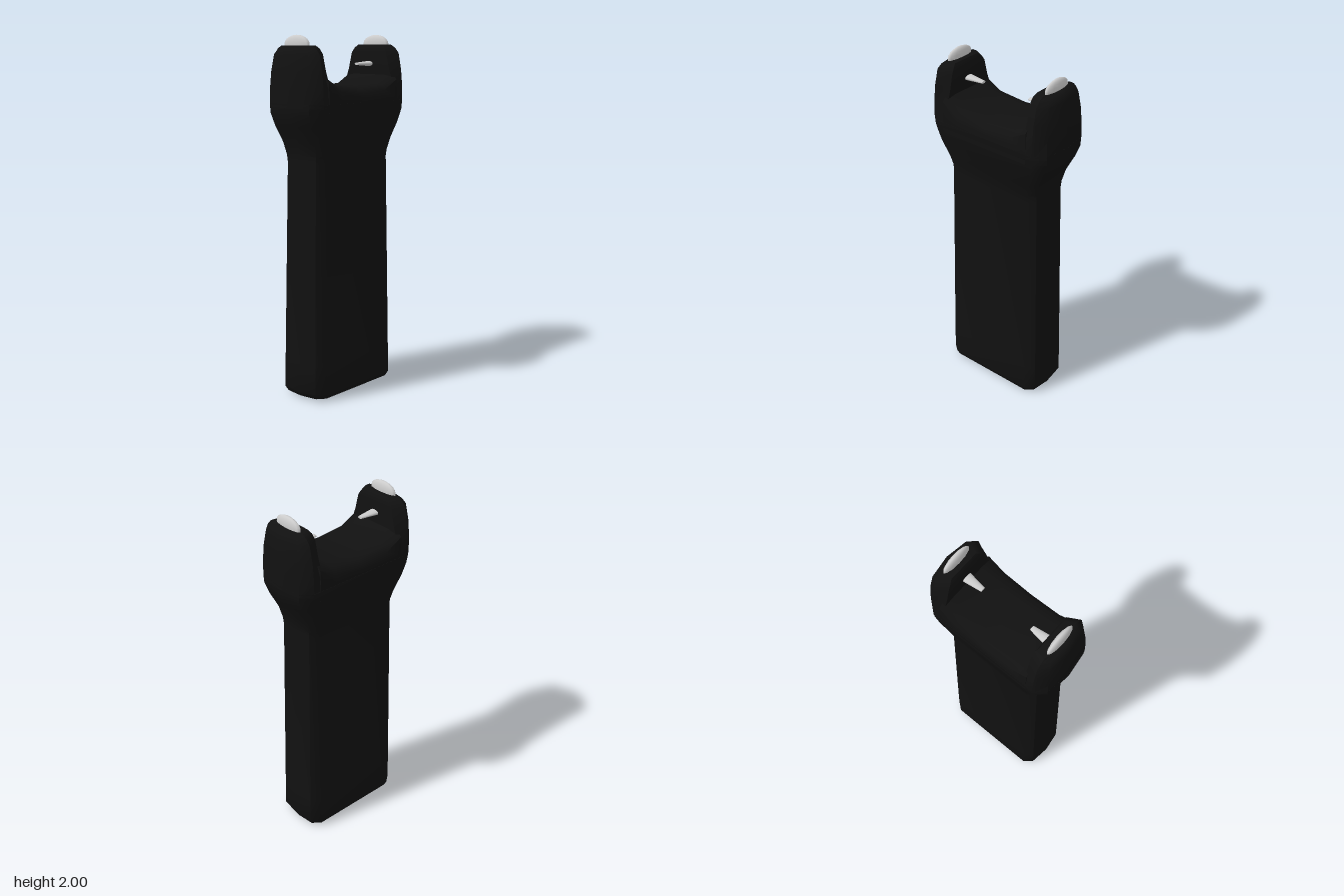
import * as THREE from 'three';
import { toCreasedNormals } from 'three/addons/utils/BufferGeometryUtils.js';

const black = new THREE.MeshStandardMaterial({ color: 0x111111 });
const grey = new THREE.MeshStandardMaterial({ color: 0xcccccc });

// Skin a list of equal-length rings and close both ends
function loft(rings) {
  const n = rings[0].length;
  const pos = rings.flat(2);
  const index = [];
  for (let r = 0; r < rings.length - 1; r++) {
    for (let i = 0; i < n; i++) {
      const a = r * n + i, b = r * n + (i + 1) % n;
      index.push(a, a + n, b, b, a + n, b + n);
    }
  }
  const last = (rings.length - 1) * n;
  for (let i = 1; i < n - 1; i++) {
    index.push(0, i, i + 1, last, last + i + 1, last + i);
  }
  const geo = new THREE.BufferGeometry();
  geo.setAttribute('position', new THREE.Float32BufferAttribute(pos, 3));
  geo.setIndex(index);
  return toCreasedNormals(geo, 0.75);
}

function add(parent, name, geometry, material) {
  const mesh = new THREE.Mesh(geometry, material);
  mesh.name = name;
  parent.add(mesh);
  return mesh;
}

// Ten-sided handle section: half width w, half depth d
function handleRing([y, w, d]) {
  const half = [[w, 0], [w * 0.955, d * 0.75], [w * 0.81, d], [-w * 0.81, d], [-w * 0.955, d * 0.75], [-w, 0]];
  const back = half.slice(1, 5).reverse().map(([x, z]) => [x, -z]);
  return [...half, ...back].map(([x, z]) => [x, y, z]);
}

// Prong section: rounded outside, flat inner wall at x = inner
function prongRing([y, w, d, inner, innerD]) {
  return [
    [w, y, 0], [w - 0.018, y, d * 0.75], [0.325, y, d], [inner, y, innerD],
    [inner, y, -innerD], [0.325, y, -d], [w - 0.018, y, -d * 0.75],
  ];
}

// Saddle section between the prongs, with softened front and back rims
function saddleRing([x, top]) {
  const half = [[1.58, 0.19], [1.66, 0.194], [top - 0.035, 0.188], [top - 0.008, 0.16], [top, 0.11]];
  const back = half.slice().reverse().map(([y, z]) => [y, -z]);
  return [...half, ...back].map(([y, z]) => [x, y, z]);
}

export function createModel() {
  const model = new THREE.Group();

  // Tapered grip flaring into the head
  add(model, 'handle', loft([
    [0, 0.29, 0.11], [0.012, 0.315, 0.143], [0.04, 0.331, 0.156], [0.2, 0.329, 0.154],
    [1.32, 0.306, 0.14], [1.36, 0.309, 0.145], [1.43, 0.327, 0.16],
    [1.52, 0.373, 0.18], [1.59, 0.4, 0.19], [1.64, 0.402, 0.194],
  ].map(handleRing)), black);

  // Curved valley between the prongs
  add(model, 'saddle', loft([
    [-0.28, 1.79], [-0.26, 1.78], [-0.18, 1.737], [0, 1.722],
    [0.18, 1.737], [0.26, 1.78], [0.28, 1.79],
  ].map(saddleRing)), black);

  const prongGeo = loft([
    [1.62, 0.402, 0.194, 0.26, 0.192], [1.72, 0.4, 0.193, 0.26, 0.182],
    [1.81, 0.396, 0.184, 0.26, 0.15], [1.9, 0.387, 0.165, 0.26, 0.128],
    [1.928, 0.374, 0.14, 0.264, 0.11], [1.945, 0.355, 0.112, 0.274, 0.09],
  ].map(prongRing));

  // Each side: prong, top contact and inward pin
  for (const [name, turn] of [['left', 0], ['right', Math.PI]]) {
    const side = new THREE.Group();
    side.name = name + 'Side';
    side.rotation.y = turn;
    model.add(side);

    add(side, name + 'Prong', prongGeo, black);

    const contact = add(side, name + 'Contact', new THREE.SphereGeometry(1, 12, 10), grey);
    contact.scale.set(0.022, 0.05, 0.093);
    contact.position.set(0.322, 1.95, 0);

    const pinGeo = new THREE.CylinderGeometry(0.014, 0.031, 0.115, 12);
    pinGeo.rotateZ(Math.PI / 2);
    pinGeo.scale(1, 0.5, 1);
    const pin = add(side, name + 'Pin', pinGeo, grey);
    pin.position.set(0.2125, 1.84, 0);
  }
  return model;
}
